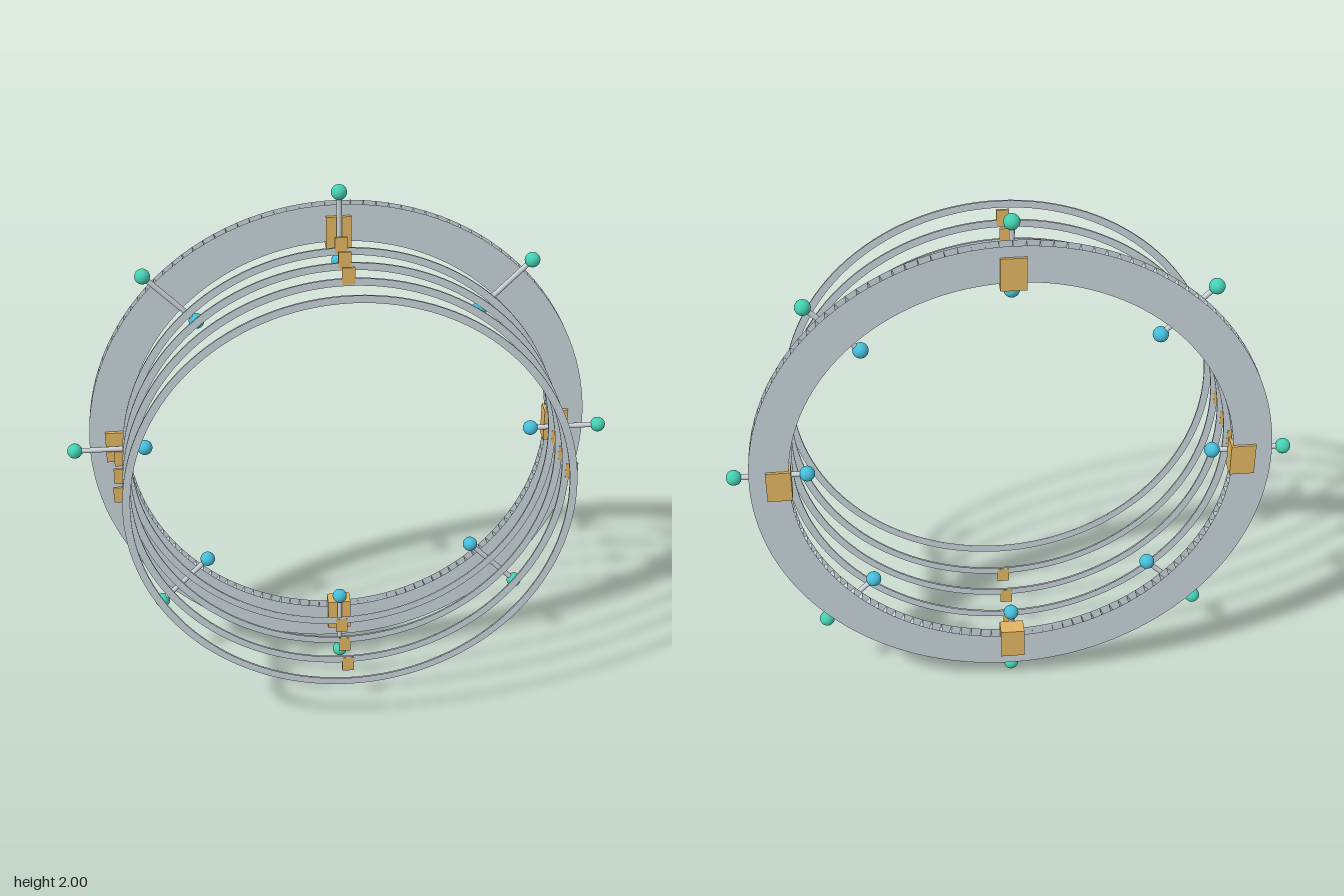
import * as THREE from 'three';
import { mergeGeometries } from 'three/addons/utils/BufferGeometryUtils.js';

const SEGMENTS = 128;
const CENTRE_Y = 1;

const mat = (name, color, extra = {}) => {
  const m = new THREE.MeshStandardMaterial({ color, ...extra });
  m.name = name;
  return m;
};

// Two flat annuli joined by radial ribs, open along the inner and outer rims
function ribbedRing(inner, outer, depth) {
  const parts = [];
  const front = new THREE.RingGeometry(inner, outer, SEGMENTS);
  const back = front.clone().rotateY(Math.PI);
  parts.push(front.translate(0, 0, depth / 2), back.translate(0, 0, -depth / 2));
  for (let i = 0; i < SEGMENTS; i++) {
    const rib = new THREE.PlaneGeometry(outer - inner, depth);
    rib.rotateX(-Math.PI / 2).translate((inner + outer) / 2, 0, 0);
    parts.push(rib.rotateZ((i / SEGMENTS) * Math.PI * 2));
  }
  return mergeGeometries(parts);
}

export function createModel() {
  const model = new THREE.Group();
  model.name = 'ringGate';

  const steel = mat('steelGrey', 0xc7d2d7, { side: THREE.DoubleSide });
  const brass = mat('brass', 0xe0b562);
  const rodGrey = mat('rodGrey', 0xcad2d8);
  const green = mat('greenBead', 0x45d0b2);
  const blue = mat('blueBead', 0x46bedb);

  const add = (parent, name, geometry, material, x, y, z) => {
    const mesh = new THREE.Mesh(geometry, material);
    mesh.name = name;
    mesh.position.set(x, y, z);
    parent.add(mesh);
    return mesh;
  };

  // Broad rear ring and the four slim rings in front of it
  add(model, 'mainRing', ribbedRing(0.78, 0.918, 0.038), steel, 0, CENTRE_Y, -0.232);
  const slim = ribbedRing(0.77, 0.797, 0.006);
  for (const z of [-0.12, 0.003, 0.127, 0.259]) {
    add(model, 'slimRing', slim, steel, 0, CENTRE_Y, z);
  }

  // Upright brass blocks on the main ring, small plates on three slim rings
  const block = new THREE.BoxGeometry(0.088, 0.122, 0.06);
  const plate = new THREE.BoxGeometry(0.044, 0.06, 0.008);
  for (const [dx, dy] of [[1, 0], [0, 1], [-1, 0], [0, -1]]) {
    add(model, 'clampBlock', block, brass, dx * 0.815, CENTRE_Y + dy * 0.815, -0.23);
    for (const z of [-0.12, 0.003, 0.127]) {
      add(model, 'clampPlate', plate, brass, dx * 0.806, CENTRE_Y + dy * 0.806, z);
    }
  }

  // Eight radial rods with a bead at each end
  const rod = new THREE.CylinderGeometry(0.0095, 0.0095, 0.255, 16).rotateZ(Math.PI / 2);
  const bead = new THREE.SphereGeometry(0.0275, 24, 16);
  for (let i = 0; i < 8; i++) {
    const spoke = new THREE.Group();
    spoke.name = 'spoke';
    spoke.position.set(0, CENTRE_Y, -0.19);
    spoke.rotation.z = (i * Math.PI) / 4;
    add(spoke, 'rod', rod, rodGrey, 0.8445, 0, 0);
    add(spoke, 'outerBead', bead, green, 0.9725, 0, 0);
    add(spoke, 'innerBead', bead, blue, 0.717, 0, 0);
    model.add(spoke);
  }

  return model;
}
